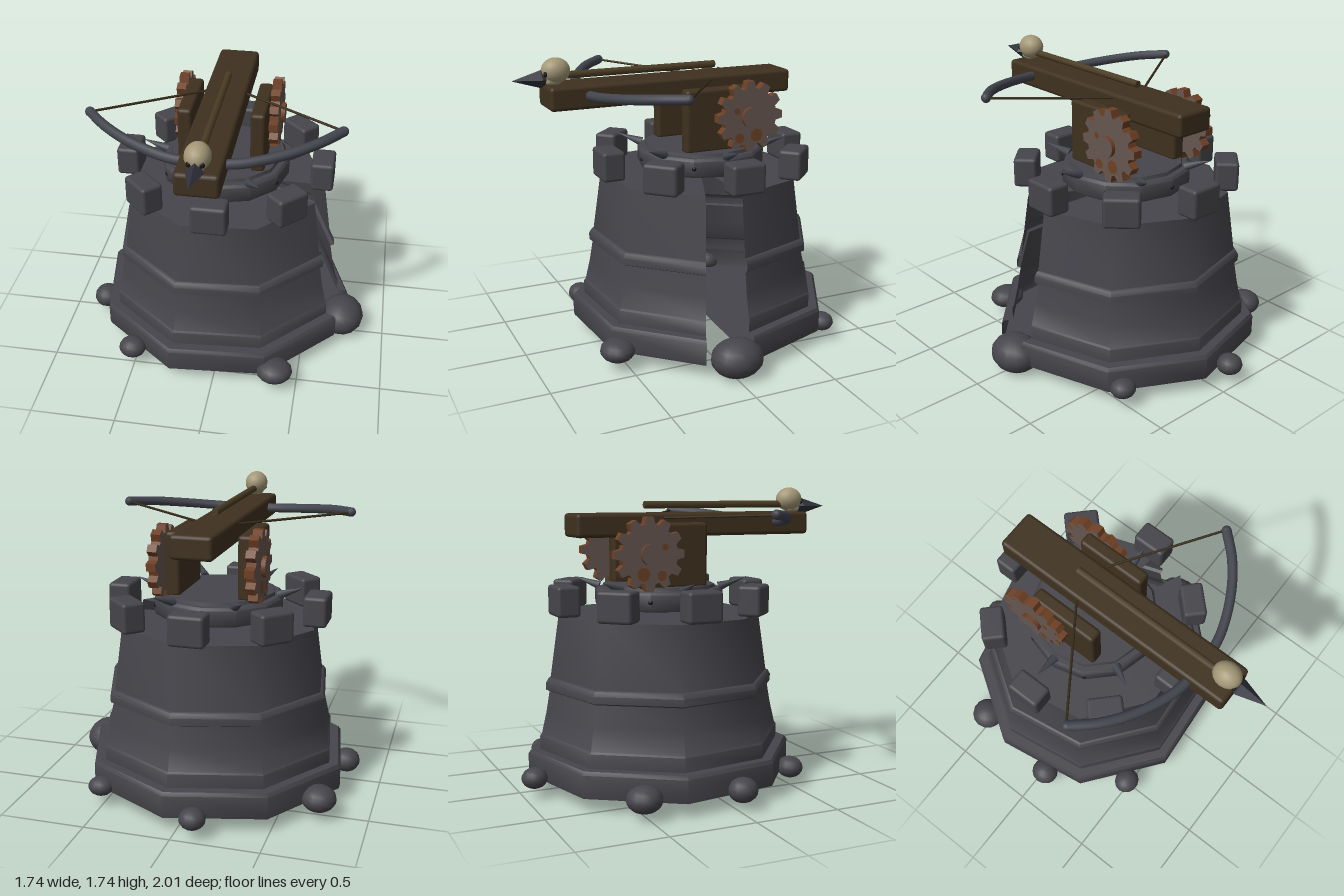
import * as THREE from 'three';
import { toCreasedNormals } from 'three/addons/utils/BufferGeometryUtils.js';
import { RoundedBoxGeometry } from 'three/addons/geometries/RoundedBoxGeometry.js';

const material = (name, color, side = THREE.FrontSide) => {
  const m = new THREE.MeshStandardMaterial({ color, side });
  m.name = name;
  return m;
};
const V = (x, y, z) => new THREE.Vector3(x, y, z);
const RAD = Math.PI / 180;

export function createModel() {
  const stone = material('stone', 0x46454b, THREE.DoubleSide);
  const iron = material('iron', 0x42444d);
  const darkIron = material('dark iron', 0x30323b);
  const wood = material('wood', 0x3f311f);
  const shaftWood = material('shaft wood', 0x4b3c24);
  const cord = material('cord', 0x352a18);
  const gearMetal = material('gear metal', 0x66564f);
  const rust = material('rust', 0x6e4024);
  const bone = material('bone', 0xa39776);
  const black = material('black', 0x17161a);

  const model = new THREE.Group();
  model.name = 'ballistaTower';
  const root = new THREE.Group();
  root.name = 'towerAxis';
  root.position.set(-0.03, 0, -0.14);
  model.add(root);

  const add = (name, geometry, mat, x = 0, y = 0, z = 0, parent = root) => {
    const mesh = new THREE.Mesh(geometry, mat);
    mesh.name = name;
    mesh.position.set(x, y, z);
    parent.add(mesh);
    return mesh;
  };
  const lathe = (points, sides, start, length) => toCreasedNormals(
    new THREE.LatheGeometry(points.map(([r, y]) => new THREE.Vector2(r, y)), sides, start, length), 0.8);
  // Straight rod between two points
  const rod = (name, a, b, radius, mat) => {
    const geometry = new THREE.CylinderGeometry(radius, radius, a.distanceTo(b), 8);
    const mesh = add(name, geometry, mat);
    mesh.position.copy(a).lerp(b, 0.5);
    mesh.quaternion.setFromUnitVectors(V(0, 1, 0), b.clone().sub(a).normalize());
    return mesh;
  };

  // Eight-sided tower with a narrow open slot on its left side
  add('tower', lathe([
    [0, 0.08], [0.785, 0.08], [0.79, 0.1], [0.79, 0.21], [0.775, 0.23],
    [0.72, 0.23], [0.72, 0.31], [0.71, 0.32], [0.68, 0.45], [0.66, 0.57],
    [0.68, 0.58], [0.68, 0.62], [0.665, 0.645], [0.652, 0.65], [0.6, 1.01], [0, 1.01],
  ], 8, 88 * RAD, 340 * RAD), stone);

  // Battlement blocks
  for (let i = 0; i < 8; i++) {
    const a = i * Math.PI / 4;
    const block = add('battlementBlock', new RoundedBoxGeometry(0.205, 0.175, 0.135, 2, 0.02), stone,
      Math.sin(a) * 0.583, 1.102, Math.cos(a) * 0.583);
    block.rotation.y = a;
  }

  // Boulders around the foot: x, z, radius in x, y, z
  [
    [-0.08, -0.8, 0.075, 0.06, 0.075], [0.54, -0.57, 0.075, 0.055, 0.07],
    [-0.69, -0.38, 0.1, 0.075, 0.1], [-0.76, 0.17, 0.08, 0.07, 0.085],
    [-0.48, 0.63, 0.082, 0.062, 0.075], [0.4, 0.7, 0.108, 0.066, 0.1],
    [0.765, 0.12, 0.135, 0.112, 0.155],
  ].forEach(([x, z, rx, ry, rz]) => add('boulder', new THREE.SphereGeometry(1, 14, 10), stone,
    x, 0.112, z).scale.set(rx, ry, rz));

  // Turntable with outward spikes and rivets
  add('turntable', lathe([
    [0, 1.05], [0.37, 1.05], [0.38, 1.065], [0.38, 1.145], [0.365, 1.16],
    [0.335, 1.16], [0.33, 1.18], [0, 1.18],
  ], 12), stone);
  add('pivot', new THREE.CylinderGeometry(0.08, 0.08, 0.06, 12), stone, 0, 1.03, 0);
  for (let i = 0; i < 6; i++) {
    const a = (i * 60 + 30) * RAD;
    const dir = V(Math.sin(a), 0.35, Math.cos(a)).normalize();
    const spike = add('spike', new THREE.ConeGeometry(0.028, 0.16, 8), iron,
      Math.sin(a) * 0.43, 1.19, Math.cos(a) * 0.43);
    spike.quaternion.setFromUnitVectors(V(0, 1, 0), dir);
    const b = i * 60 * RAD;
    const rivet = add('rivet', new THREE.SphereGeometry(0.016, 8, 6), black,
      Math.sin(b) * 0.37, 1.105, Math.cos(b) * 0.37);
    rivet.scale.y = 1;
  }

  // Gear outline with twelve tapered teeth
  const gearShape = new THREE.Shape();
  for (let i = 0; i < 12; i++) {
    [[-11, 0.168], [-6, 0.208], [6, 0.208], [11, 0.168]].forEach(([d, r], k) => {
      const a = (i * 30 + d) * RAD;
      const method = i + k === 0 ? 'moveTo' : 'lineTo';
      gearShape[method](Math.cos(a) * r, Math.sin(a) * r);
    });
  }
  gearShape.closePath();

  // Upright supports, each carrying a gear on its outer face
  for (const s of [1, -1]) {
    add('support', new RoundedBoxGeometry(0.085, 0.37, 0.42, 2, 0.02), wood, s * 0.21, 1.355, -0.01);
    const gear = new THREE.Group();
    gear.name = 'gear';
    gear.position.set(s * 0.25, 1.37, -0.18);
    gear.rotation.y = s * Math.PI / 2;
    root.add(gear);
    add('gearWheel', new THREE.ExtrudeGeometry(gearShape, { depth: 0.055, bevelEnabled: false }),
      [gearMetal, rust], 0, 0, 0, gear);
    const hub = new THREE.CylinderGeometry(0.06, 0.06, 0.025, 16).rotateX(Math.PI / 2);
    add('gearHub', hub, [rust, gearMetal, gearMetal], 0, 0, 0.067, gear);
    [[0.04, -0.11, 0.04], [-0.07, -0.12, 0.03], [-0.09, 0.04, 0.02]].forEach(([x, y, r]) =>
      add('rustPatch', new THREE.CircleGeometry(r, 7), rust, s * x, y, 0.058, gear));
  }

  // Main beam
  add('beam', new RoundedBoxGeometry(0.24, 0.135, 1.49, 2, 0.022), wood, 0, 1.525, 0.205);

  // Bow limbs with capped tips, and the drawn string
  for (const s of [1, -1]) {
    const curve = new THREE.CatmullRomCurve3([
      V(0, 1.53, 0.735), V(s * 0.2, 1.538, 0.71), V(s * 0.42, 1.56, 0.62),
      V(s * 0.58, 1.58, 0.51), V(s * 0.695, 1.592, 0.39),
    ]);
    add('bowLimb', new THREE.TubeGeometry(curve, 20, 0.028, 10), iron);
    add('bowTip', new THREE.SphereGeometry(0.028, 10, 8), iron, s * 0.695, 1.592, 0.39);
    rod('bowString', V(s * 0.695, 1.59, 0.385), V(0, 1.56, -0.09), 0.007, cord);
  }

  // Bolt with skull and pointed head
  rod('boltShaft', V(0, 1.638, -0.09), V(0, 1.638, 0.97), 0.021, shaftWood);
  add('skull', new THREE.SphereGeometry(1, 18, 14), bone, 0, 1.667, 0.882).scale.set(0.07, 0.072, 0.082);
  add('skullJaw', new RoundedBoxGeometry(0.075, 0.06, 0.085, 2, 0.02), bone, 0, 1.62, 0.9);
  for (const s of [1, -1]) {
    const eye = add('eyeSocket', new THREE.SphereGeometry(0.017, 10, 8), black, s * 0.032, 1.655, 0.949);
    eye.scale.z = 0.6;
  }
  const tip = new THREE.ConeGeometry(0.05, 0.165, 4).rotateX(Math.PI / 2);
  add('boltHead', toCreasedNormals(tip, 0.5), darkIron, 0, 1.625, 1.05);
  const collar = new THREE.CylinderGeometry(0.05, 0.035, 0.025, 4).rotateX(Math.PI / 2);
  add('boltCollar', toCreasedNormals(collar, 0.5), darkIron, 0, 1.625, 0.956);

  return model;
}
